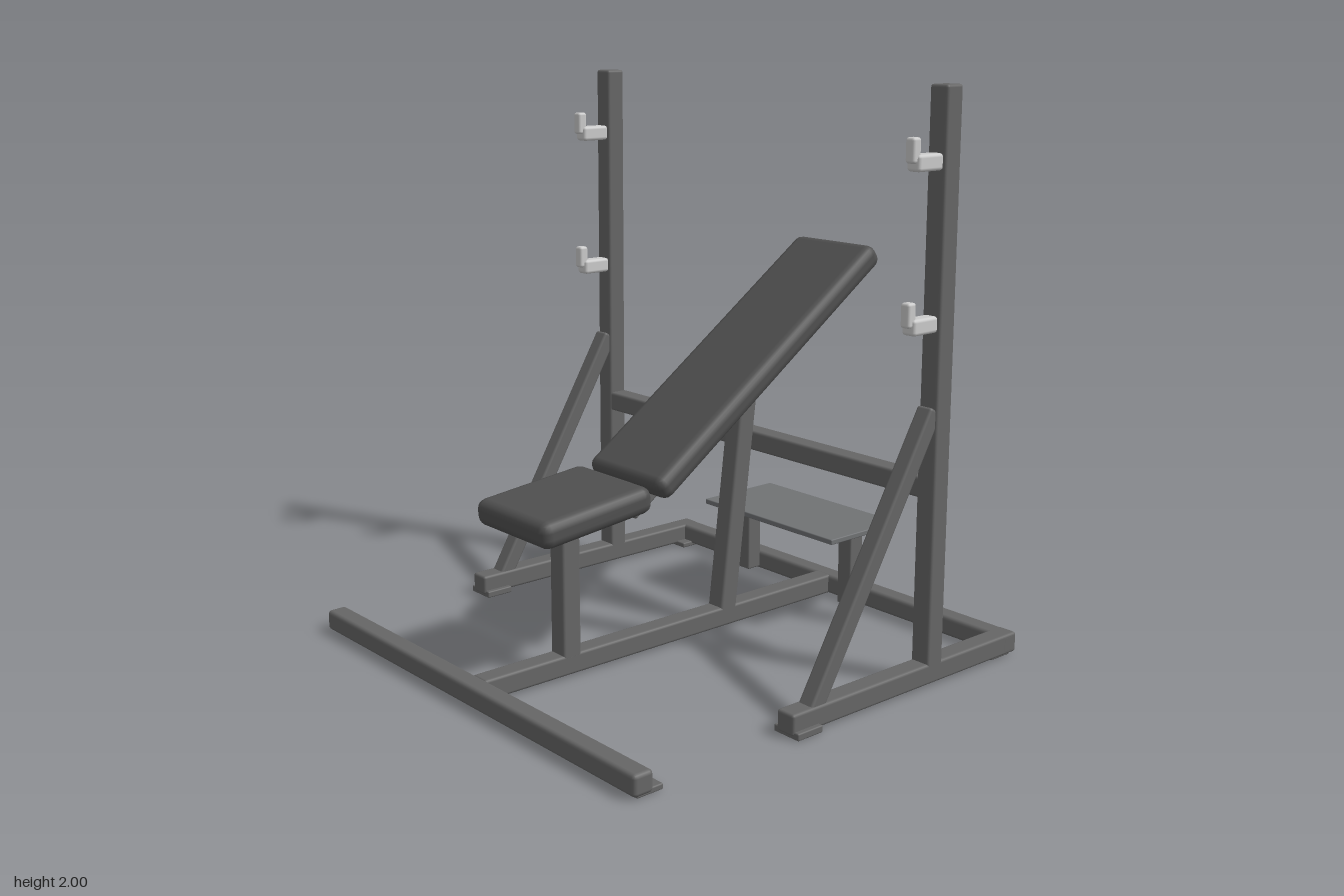
import * as THREE from 'three';
import { RoundedBoxGeometry } from 'three/addons/geometries/RoundedBoxGeometry.js';

const frame = new THREE.MeshStandardMaterial({ color: 0x666666 });
const cushion = new THREE.MeshStandardMaterial({ color: 0x505050 });
const plate = new THREE.MeshStandardMaterial({ color: 0x707274 });
const metal = new THREE.MeshStandardMaterial({ color: 0xcccccc });

const T = 0.075; // tube thickness
const SIDE_X = 0.847; // centre of the side frames

export function createModel() {
  const model = new THREE.Group();
  model.name = 'inclineBench';

  // Softly rounded box given by its centre and size
  function block(name, material, x, y, z, w, h, d, radius = 0.01) {
    const mesh = new THREE.Mesh(new RoundedBoxGeometry(w, h, d, 2, radius), material);
    mesh.name = name;
    mesh.position.set(x, y, z);
    model.add(mesh);
    return mesh;
  }

  // Square tube in a plane of constant x, running between two [y, z] points
  function strut(name, x, [y0, z0], [y1, z1], width, depth = width) {
    const length = Math.hypot(y1 - y0, z1 - z0);
    const mesh = block(name, frame, x, (y0 + y1) / 2, (z0 + z1) / 2, width, length, depth);
    mesh.rotation.x = Math.atan2(z1 - z0, y1 - y0);
    return mesh;
  }

  // Floor frame
  block('frontFloorBar', frame, 0, 0.046, 0.838, 1.77, 0.073, T, 0.014);
  block('rearFloorBar', frame, 0, 0.046, -0.832, 1.77, 0.073, T, 0.014);
  block('centreFloorRail', frame, 0, 0.046, 0, T, 0.073, 1.62);

  // Mirrored side frames
  for (const side of [-1, 1]) {
    const x = side * SIDE_X;
    block('sideFloorRail', frame, x, 0.046, -0.317, T, 0.073, 1.105);
    block('upright', frame, x, 1.005, -0.433, T, 1.99, T);
    strut('uprightBrace', x, [0.05, 0.132], [0.955, -0.405], 0.063, 0.06);

    // Feet
    block('railFoot', frame, x, 0.0125, 0.175, 0.11, 0.025, 0.11, 0.005);
    block('frontFoot', frame, side * 0.82, 0.01, 0.805, 0.105, 0.02, 0.1, 0.005);
    block('rearFoot', frame, side * 0.82, 0.01, -0.8, 0.105, 0.02, 0.1, 0.005);

    // Bar hooks: an arm with a raised lip
    for (const y of [1.24, 1.76]) {
      block('hookArm', metal, x, y, -0.342, 0.055, 0.055, 0.118, 0.012);
      block('hookLip', metal, x, y + 0.04, -0.284, 0.038, 0.082, 0.038, 0.01);
    }

    // Step legs
    block('stepLeg', frame, side * 0.272, 0.21, -0.662, 0.064, 0.28, 0.064, 0.006);
  }
  block('uprightCrossbar', frame, 0, 0.685, -0.437, 1.66, 0.073, T);

  // Spotter step
  block('stepPlate', plate, 0, 0.355, -0.665, 0.68, 0.02, 0.35, 0.004);

  // Seat and its post
  block('seatPost', frame, 0, 0.315, 0.45, T, 0.5, T);
  const seat = block('seatPad', cushion, 0, 0.6, 0.45, 0.4, 0.095, 0.46, 0.036);
  seat.rotation.x = 0.105;

  // Backrest with its spine and support
  const back = block('backPad', cushion, 0, 0.995, -0.337, 0.4, 0.09, 1.27, 0.036);
  back.rotation.x = THREE.MathUtils.degToRad(35);
  strut('backSpine', 0, [0.53, 0.187], [0.929, -0.381], T, 0.07);
  strut('backSupport', 0, [0.05, -0.268], [0.925, -0.372], T);

  return model;
}
